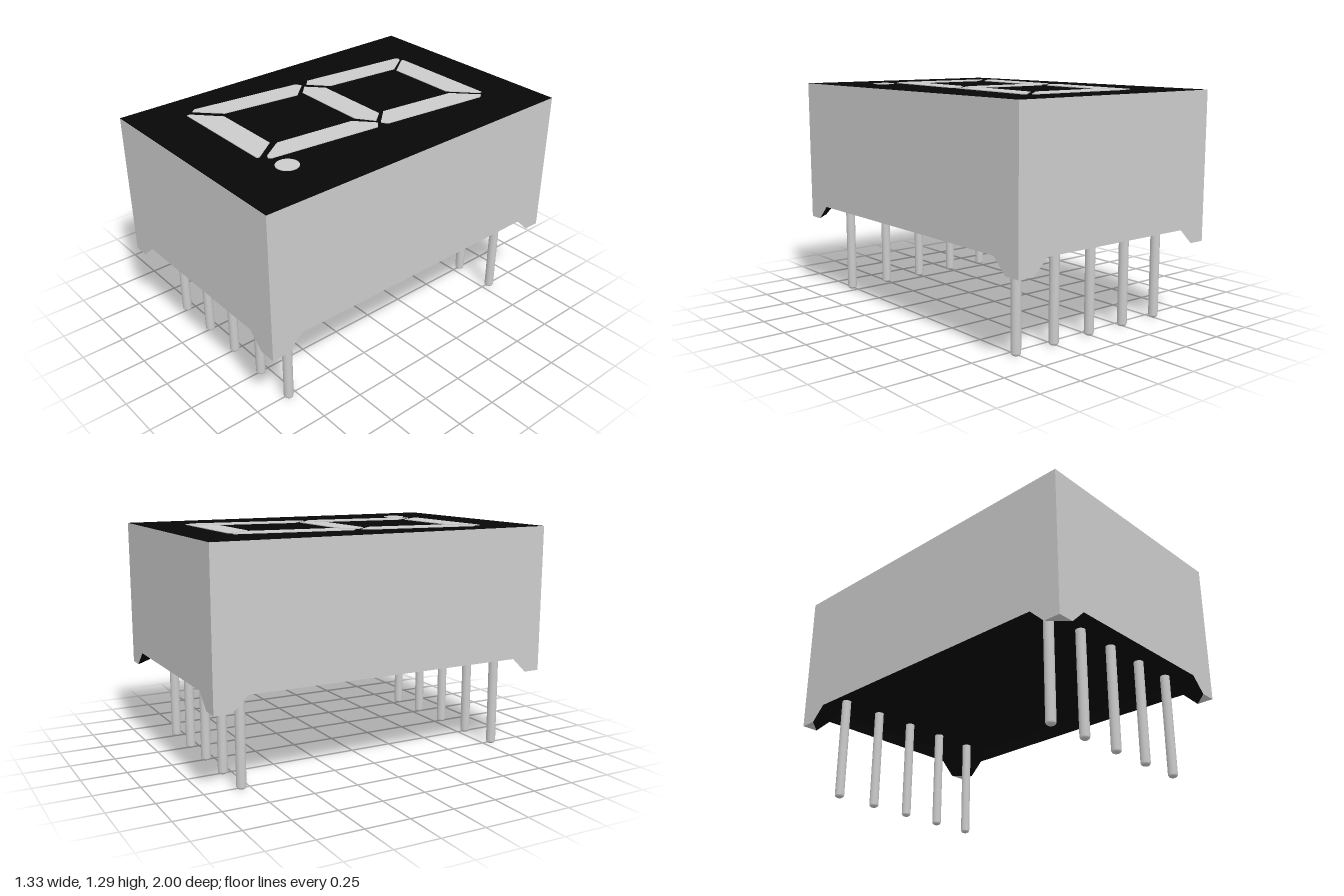
import * as THREE from 'three';

const W = 0.667, D = 1, TOP = 1.286, BASE = 0.537, FOOT = 0.453;
const FLOOR = 0.603; // recessed underside
const F1 = 0.096, F2 = 0.184, F3 = 0.25; // foot width at tip, rim and floor

const grey = new THREE.MeshStandardMaterial({ color: 0xcccccc });
const shell = new THREE.MeshStandardMaterial({ color: 0xc0c0c0, side: THREE.DoubleSide });
const black = new THREE.MeshStandardMaterial({ color: 0x070707, side: THREE.DoubleSide });

function add(parent, name, geometry, material) {
  const mesh = new THREE.Mesh(geometry, material);
  mesh.name = name;
  parent.add(mesh);
  return mesh;
}

const shapeOf = pts => new THREE.Shape(pts.map(([x, y]) => new THREE.Vector2(x, y)));

// Flat polygon through 3D corners, as a triangle fan
function facet(corners) {
  const g = new THREE.BufferGeometry();
  g.setAttribute('position', new THREE.Float32BufferAttribute(corners.flat(), 3));
  g.setIndex(corners.length === 4 ? [0, 1, 2, 0, 2, 3] : [0, 1, 2]);
  g.computeVertexNormals();
  return g;
}

// Wall outline with a tapered foot at both ends
const wallShape = h => shapeOf([
  [-h, FOOT], [-h + F1, FOOT], [-h + F2, BASE], [h - F2, BASE],
  [h - F1, FOOT], [h, FOOT], [h, TOP], [-h, TOP],
]);

// Rectangle of the housing with its corners cut off, as [x, z]
function octagon(inset, cut) {
  const w = W - inset, d = D - inset;
  const cx = W - cut, cz = D - cut;
  return [[-cx, -d], [cx, -d], [w, -cz], [w, cz], [cx, d], [-cx, d], [-w, cz], [-w, -cz]];
}

function createHousing() {
  const housing = new THREE.Group();
  housing.name = 'housing';

  // Four outer walls
  ['frontWall', 'leftWall', 'backWall', 'rightWall'].forEach((name, i) => {
    const side = i % 2 === 1;
    const wall = add(housing, name, new THREE.ShapeGeometry(wallShape(side ? D : W)), shell);
    wall.rotation.y = i * Math.PI / 2;
    wall.position.set([0, W, 0, -W][i], 0, [D, 0, -D, 0][i]);
  });

  // Black face plate
  const face = add(housing, 'facePlate', new THREE.PlaneGeometry(2 * W, 2 * D), black);
  face.rotation.x = -Math.PI / 2;
  face.position.y = TOP;

  // Recessed black underside with a shallow rim around it
  const rim = octagon(0, F2), floor = octagon(0.015, F3);
  const under = add(housing, 'underside', new THREE.ShapeGeometry(shapeOf(floor)), black);
  under.rotation.x = Math.PI / 2;
  under.position.y = FLOOR;
  const at = ([x, z], y) => [x, y, z];
  rim.forEach((p, i) => {
    const j = (i + 1) % rim.length;
    add(housing, 'undersideRim', facet([at(p, BASE), at(rim[j], BASE), at(floor[j], FLOOR), at(floor[i], FLOOR)]), black);
  });

  // Triangular corner feet with a sloping inner side
  for (const sx of [-1, 1]) for (const sz of [-1, 1]) {
    const p = (dx, y, dz) => [sx * (W - dx), y, sz * (D - dz)];
    add(housing, 'footSlope', facet([p(F1, FOOT, 0), p(0, FOOT, F1), p(0, BASE, F2), p(F2, BASE, 0)]), black);
    add(housing, 'footTip', facet([p(0, FOOT, 0), p(0, FOOT, F1), p(F1, FOOT, 0)]), shell);
  }
  return housing;
}

// Slanted light bars as [x, z] outlines
const topBar = [[-0.293, -0.753], [0.357, -0.753], [0.357, -0.735], [0.217, -0.605], [-0.198, -0.605], [-0.293, -0.735]];
const leftBar = [[-0.327, -0.745], [-0.307, -0.735], [-0.222, -0.61], [-0.272, -0.15], [-0.377, -0.055], [-0.417, -0.09], [-0.342, -0.735]];
const rightBar = [[0.379, -0.723], [0.399, -0.698], [0.319, -0.058], [0.284, -0.038], [0.189, -0.143], [0.249, -0.598]];
const middleBar = [[-0.267, -0.108], [0.193, -0.108], [0.253, -0.033], [0.153, 0.037], [-0.297, 0.037], [-0.357, -0.023]];
const turned = (pts, sz) => pts.map(([x, z]) => [-0.1 - x, sz - z]);

function createDigit() {
  const digit = new THREE.Group();
  digit.name = 'digitSegments';
  const bars = {
    topSegment: topBar,
    upperLeftSegment: leftBar,
    upperRightSegment: rightBar,
    middleSegment: middleBar,
    lowerLeftSegment: turned(rightBar, -0.062),
    lowerRightSegment: turned(leftBar, -0.078),
    bottomSegment: turned(topBar, -0.044),
  };
  const raise = shape => new THREE.ExtrudeGeometry(shape, { depth: 0.004, bevelEnabled: false, curveSegments: 24 })
    .rotateX(-Math.PI / 2).translate(0, TOP, 0);
  for (const [name, pts] of Object.entries(bars)) {
    add(digit, name, raise(shapeOf(pts.map(([x, z]) => [x, -z]))), shell);
  }
  // Round decimal point
  add(digit, 'decimalPoint', raise(new THREE.Shape().absarc(0.348, -0.638, 0.062, 0, Math.PI * 2)), shell);
  return digit;
}

function createPins() {
  const pins = new THREE.Group();
  pins.name = 'pins';
  // Round pin with a softened tip
  const profile = [[0, 0], [0.016, 0], [0.023, 0.005], [0.027, 0.014], [0.027, FLOOR]]
    .map(([r, y]) => new THREE.Vector2(r, y));
  const geometry = new THREE.LatheGeometry(profile, 24);
  for (const z of [-0.8, 0.8]) for (let i = -2; i <= 2; i++) {
    add(pins, 'pin', geometry, grey).position.set(i * 0.255, 0, z);
  }
  return pins;
}

export function createModel() {
  const model = new THREE.Group();
  model.name = 'digitDisplay';
  model.add(createHousing(), createDigit(), createPins());
  return model;
}
